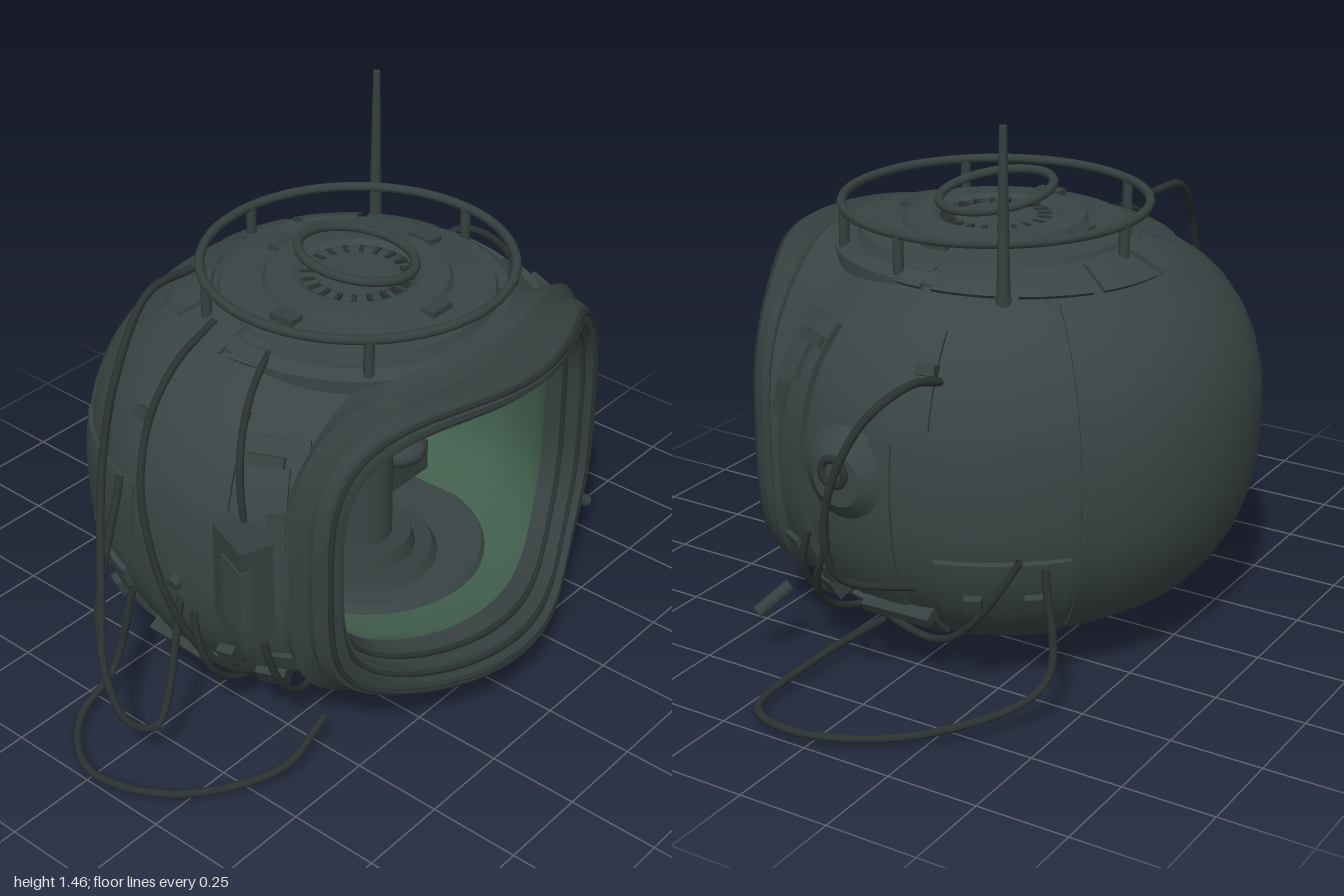
import * as THREE from 'three';
import { toCreasedNormals } from 'three/addons/utils/BufferGeometryUtils.js';

const mat = (name, color) => {
  const m = new THREE.MeshStandardMaterial({ color, side: THREE.DoubleSide });
  m.name = name;
  return m;
};
const hullMat = mat('hull grey', 0x3a4444);
const trimMat = mat('trim grey', 0x363f3f);
const darkMat = mat('dark cable', 0x2b3131);
const greenMat = mat('cabin green', 0x42604f);
const CY = 0.57, RAD = Math.PI / 180;

// Point on the squashed-sphere hull along a direction, pushed out by off; the underside is fuller
function hullPoint(x, y, z, off = 0) {
  const [p, ry] = y < 0 ? [2.5, 0.552] : [2.4, 0.53];
  const s = Math.pow(Math.pow((x / 0.7) ** 2 + (z / 0.65) ** 2, p / 2) + Math.pow(Math.abs(y) / ry, p), -1 / p);
  const v = new THREE.Vector3(x * s, y * s, z * s);
  v.addScaledVector(v.clone().normalize(), off);
  v.y += CY;
  return v;
}
// Azimuth 0 is the front, 90 is the left side (+x)
function hullAt(az, el, off = 0) {
  const a = az * RAD, e = el * RAD;
  return hullPoint(Math.cos(e) * Math.sin(a), Math.sin(e), Math.cos(e) * Math.cos(a), off);
}
// Surface from rows of points
function gridGeometry(rows, crease = 0.6) {
  const n = rows[0].length, pos = [], idx = [];
  rows.forEach(r => r.forEach(v => pos.push(v.x, v.y, v.z)));
  for (let i = 0; i < rows.length - 1; i++)
    for (let j = 0; j < n - 1; j++) {
      const a = i * n + j, b = a + n;
      idx.push(a, a + 1, b, b, a + 1, b + 1);
    }
  const g = new THREE.BufferGeometry();
  g.setAttribute('position', new THREE.Float32BufferAttribute(pos, 3));
  g.setIndex(idx);
  return toCreasedNormals(g, crease);
}

export function createModel() {
  const root = new THREE.Group();
  root.name = 'pod';
  const add = (name, geo, m, x = 0, y = 0, z = 0) => {
    const mesh = new THREE.Mesh(geo, m);
    mesh.name = name;
    mesh.position.set(x, y, z);
    root.add(mesh);
    return mesh;
  };
  const rod = (name, a, b, r) => {
    const A = new THREE.Vector3(...a), B = new THREE.Vector3(...b), d = B.clone().sub(A);
    const mesh = add(name, new THREE.CylinderGeometry(r, r, d.length(), 10), trimMat);
    mesh.position.copy(A).add(B).multiplyScalar(0.5);
    mesh.quaternion.setFromUnitVectors(new THREE.Vector3(0, 1, 0), d.normalize());
  };

  // Rounded window ring whose sides sweep back in a bell curve of strength c
  const N = 80;
  const ring = ([w, h, z, c = 1]) => Array.from({ length: N + 1 }, (_, j) => {
    const a = j / N * Math.PI * 2, cx = Math.cos(a), sy = Math.sin(a);
    const r = Math.pow(Math.abs(cx / w) ** 3.4 + Math.abs(sy / h) ** 3.4, -1 / 3.4);
    const u = Math.min(1, (r * cx / 0.59) ** 2);
    return new THREE.Vector3(r * cx, r * sy + CY + 0.01, z - c * 0.19 * (1 - (1 - u) ** 2));
  });

  // Hull from the rear pole to the window collar
  const hullRows = [];
  for (let i = 0; i <= 24; i++) {
    const row = [];
    for (let j = 0; j <= N; j++) {
      const a = j / N * Math.PI * 2;
      const phi = Math.max(0.001, i / 24) * (116 + 8 * Math.sin(a) ** 2) * RAD;
      row.push(hullPoint(Math.sin(phi) * Math.cos(a), Math.sin(phi) * Math.sin(a), -Math.cos(phi)));
    }
    hullRows.push(row);
  }
  hullRows.push(ring([0.615, 0.472, 0.5, 0.7]));
  add('hull', gridGeometry(hullRows), hullMat);

  // Stepped window frame
  add('windowFrame', gridGeometry([
    [0.615, 0.472, 0.5, 0.7], [0.58, 0.45, 0.54, 0.75], [0.585, 0.455, 0.57, 0.8], [0.575, 0.45, 0.635],
    [0.545, 0.425, 0.65], [0.53, 0.41, 0.65], [0.53, 0.41, 0.625], [0.50, 0.38, 0.62], [0.50, 0.38, 0.58],
    [0.475, 0.355, 0.57], [0.465, 0.345, 0.52]].map(ring), 0.4), trimMat);
  [[0.56, 0.437, 0.643], [0.515, 0.395, 0.623], [0.485, 0.365, 0.576]].forEach(k => {
    const c = new THREE.CatmullRomCurve3(ring(k).slice(0, N), true);
    add('windowSeal', new THREE.TubeGeometry(c, 120, 0.008, 6, true), darkMat);
  });

  // Cabin lining, floor and rear bulkhead
  add('cabinLining', gridGeometry([[0.465, 0.345, 0.52], [0.51, 0.375, 0.4, 0.6], [0.55, 0.39, 0.2, 0.3], [0.54, 0.39, -0.05, 0.1]].map(ring)), greenMat);
  add('bulkhead', gridGeometry([[0.54, 0.39, -0.05, 0.1], [0.5, 0.38, -0.25, 0], [0.36, 0.3, -0.34, 0], [0.001, 0.001, -0.36, 0]].map(ring)), hullMat);
  add('cabinFloor', new THREE.CylinderGeometry(0.32, 0.34, 0.03, 40), hullMat, 0.06, 0.21, 0.06);

  // Cabin fittings: column, seats, racks and struts
  add('column', new THREE.CylinderGeometry(0.088, 0.088, 0.75, 28), hullMat, 0, 0.58, 0.08);
  [[0.2, 0.03, 0.235], [0.14, 0.06, 0.26], [0.14, 0.04, 0.93]].forEach(([r, h, y]) =>
    add('columnCollar', new THREE.CylinderGeometry(r, r + 0.02, h, 28), trimMat, 0, y, 0.08));
  for (const s of [-1, 1]) {
    add('rack', new THREE.BoxGeometry(0.13, 0.5, 0.1), trimMat, s * 0.2, 0.62, -0.22);
    for (let i = 0; i < 4; i++)
      add('rackUnit', new THREE.BoxGeometry(0.1, 0.08, 0.04), darkMat, s * 0.2, 0.44 + i * 0.12, -0.16);
    add('console', new THREE.BoxGeometry(0.2, 0.1, 0.16), trimMat, s * 0.3, 0.3, -0.08);
    add('seatPad', new THREE.SphereGeometry(0.08, 16, 10), hullMat, s * 0.29, 0.37, -0.02).scale.set(1, 0.6, 1);
    rod('strut', [s * 0.16, 0.88, 0], [s * 0.19, 0.28, 0], 0.012);
    rod('strut', [s * 0.24, 0.9, -0.1], [s * 0.42, 0.5, -0.05], 0.012);
    rod('strut', [s * 0.42, 0.5, -0.05], [s * 0.2, 0.42, 0.02], 0.01);
    rod('shelfBar', [s * 0.12, 0.53, -0.05], [s * 0.4, 0.55, -0.08], 0.014);
  }

  // Raised plates that follow the hull
  const plate = (name, a0, a1, e0, e1, off) => {
    const n = 12, rows = [], f = k => Math.min(n, Math.max(0, k)) / n;
    for (let i = -1; i <= n + 1; i++) {
      const row = [];
      for (let j = -1; j <= n + 1; j++) {
        const edge = i < 0 || j < 0 || i > n || j > n;
        row.push(hullAt(a0 + (a1 - a0) * f(j), e0 + (e1 - e0) * f(i), edge ? -0.01 : off));
      }
      rows.push(row);
    }
    add(name, gridGeometry(rows, 0.5), hullMat);
  };
  plate('rearShell', 135, 225, -38, 44, 0.008);
  const sidePlates = (a, b, c, d, o) => {
    plate('sidePlate', a, b, c, d, o);
    plate('sidePlate', 360 - b, 360 - a, c, d, o);
  };
  sidePlates(56, 71, -26, 32, 0.02);
  sidePlates(60, 67, 18, 26, 0.035);
  sidePlates(73, 103, 15, 36, 0.01);
  sidePlates(73, 95, -28, 11, 0.008);
  sidePlates(98, 133, -9, 12, 0.01);
  sidePlates(104, 133, -40, -13, 0.014);
  sidePlates(76, 101, -42, -31, 0.014);
  for (let i = 0; i < 8; i++) plate('shoulderPlate', 62 + i * 30, 88 + i * 30, 46, 56, 0.012);

  // Small hardware bolted to both flanks
  const fittings = (az, el, w, h) => {
    for (const s of [1, -1]) {
      const b = add('hullFitting', new THREE.BoxGeometry(w, h, 0.05), trimMat);
      b.position.copy(hullAt(s * az, el, 0.008));
      b.lookAt(b.position.clone().multiplyScalar(2).sub(new THREE.Vector3(0, CY, 0)));
    }
  };
  fittings(62, 13, 0.05, 0.09);
  fittings(66, 27, 0.1, 0.03);
  fittings(60, -20, 0.12, 0.03);
  fittings(66, -32, 0.08, 0.07);
  fittings(92, -30, 0.2, 0.03);
  fittings(101, 27, 0.05, 0.03);
  for (const az of [75, 112, 125]) fittings(az, -23, 0.045, 0.05);

  // Round port on the left, equipment box on the right
  add('sidePort', new THREE.CylinderGeometry(0.07, 0.13, 0.05, 24), hullMat, 0.715, 0.6, 0.07).rotation.z = -Math.PI / 2;
  add('sidePortRim', new THREE.TorusGeometry(0.035, 0.012, 8, 24), darkMat, 0.738, 0.62, 0.08).rotation.y = Math.PI / 2;
  add('equipmentBox', new THREE.BoxGeometry(0.09, 0.29, 0.15), trimMat, -0.685, 0.6, 0.28).rotation.y = -0.35;
  add('equipmentLid', new THREE.BoxGeometry(0.03, 0.18, 0.1), hullMat, -0.728, 0.6, 0.295).rotation.y = -0.35;

  // Stepped roof cap with a round hatch
  const roof = [[0.43, 1.0], [0.43, 1.035], [0.40, 1.055], [0.37, 1.055], [0.36, 1.075], [0.25, 1.09], [0.24, 1.105],
    [0.17, 1.11], [0.15, 1.1], [0.15, 1.08], [0.115, 1.08], [0.11, 1.1], [0.001, 1.105]];
  add('roofCap', toCreasedNormals(new THREE.LatheGeometry(roof.map(p => new THREE.Vector2(...p)), 56), 0.4), hullMat, 0, 0, 0.065);
  for (let i = 0; i < 20; i++) {
    const a = i / 20 * Math.PI * 2;
    add('hatchTooth', new THREE.BoxGeometry(0.012, 0.025, 0.035), darkMat, 0.132 * Math.sin(a), 1.09, 0.065 + 0.132 * Math.cos(a)).rotation.y = a;
  }
  const hoop = add('hatchHoop', new THREE.TorusGeometry(0.155, 0.013, 8, 40), trimMat, -0.01, 1.163, 0.07);
  hoop.rotation.set(Math.PI / 2 + 0.1, -0.14, 0);

  // Roof rail, posts and clamp blocks
  add('roofRail', new THREE.TorusGeometry(0.41, 0.013, 8, 64), trimMat, 0, 1.143, 0.065).rotation.x = Math.PI / 2;
  for (const az of [46, -46, 85, 175, -120]) {
    const x = 0.41 * Math.sin(az * RAD), z = 0.065 + 0.41 * Math.cos(az * RAD);
    rod('railPost', [x, 0.99, z], [x, 1.143, z], 0.014);
  }
  for (let i = 0; i < 4; i++) {
    const b = i / 4 * Math.PI * 2;
    add('roofClamp', new THREE.BoxGeometry(0.075, 0.035, 0.045), trimMat, 0.28 * Math.sin(b), 1.085, 0.065 + 0.26 * Math.cos(b)).rotation.y = b;
  }

  // Antenna and ground pad
  add('antenna', new THREE.CylinderGeometry(0.01, 0.018, 0.47, 10), trimMat, 0.39, 1.225, -0.2);
  add('antennaBase', new THREE.CylinderGeometry(0.02, 0.025, 0.09, 12), trimMat, 0.39, 0.98, -0.2);
  add('groundPad', new THREE.CylinderGeometry(0.26, 0.28, 0.024, 40), hullMat, 0, 0.012, 0.075);

  // Loose cables that swing clear of the hull
  const cable = (name, points, r = 0.011) =>
    add(name, new THREE.TubeGeometry(new THREE.CatmullRomCurve3(points), 72, r, 8), darkMat);
  const loose = (name, ...pts) => cable(name, pts.map(p => new THREE.Vector3(...p)));
  loose('leftGroundCable', [0.55, 0.4, -0.42], [0.6, 0.12, -0.45], [0.83, 0.04, -0.27], [0.985, 0.03, 0], [0.95, 0.03, 0.18], [0.7, 0.04, 0.2], [0.4, 0.04, 0.18]);
  loose('leftLoop', [0.6, 0.86, -0.15], [0.7, 0.88, -0.13], [0.81, 0.8, -0.06], [0.855, 0.58, 0.02], [0.81, 0.38, 0.02], [0.62, 0.3, -0.1]);
  loose('rightGroundCable', [-0.66, 0.35, -0.15], [-0.72, 0.1, -0.18], [-0.86, 0.02, -0.17], [-0.985, 0.02, 0], [-0.91, 0.02, 0.22], [-0.68, 0.05, 0.39], [-0.5, 0.1, 0.38]);
  loose('rightLoop', [-0.68, 0.72, -0.15], [-0.86, 0.38, -0.07], [-0.9, 0.17, 0.05], [-0.83, 0.12, 0.09], [-0.68, 0.48, 0.06]);
  loose('roofCable', [-0.3, 1.13, -0.24], [-0.45, 1.12, -0.25], [-0.61, 0.98, -0.21], [-0.71, 0.76, -0.18], [-0.89, 0.36, -0.03]);

  // Cables draped over the hull between two spots, bulging out and sagging midway
  const drape = (az0, el0, az1, el1, bulge, sag = 0) =>
    cable('drapedCable', Array.from({ length: 9 }, (_, i) => {
      const t = i / 8, mid = Math.sin(Math.PI * t);
      return hullAt(az0 + (az1 - az0) * t, el0 + (el1 - el0) * t - sag * mid, 0.015 + bulge * mid);
    }), 0.01);
  drape(122, -12, 85, -36, 0.03, 12);
  drape(78, -14, 62, -47, 0.05);
  drape(71, -14, 62, -40, 0.04);
  drape(-75, 50, -69, 14, 0.03);
  drape(-105, 52, -73, -45, 0.03);
  drape(-66, -8, -58, -48, 0.04);
  drape(-81, -12, -76, -44, 0.04);
  rod('cablePlug', [0.62, 0.2, 0.32], [0.7, 0.14, 0.37], 0.018);
  rod('cablePlug', [-0.72, 0.5, 0.06], [-0.66, 0.52, 0.06], 0.02);

  return root;
}
